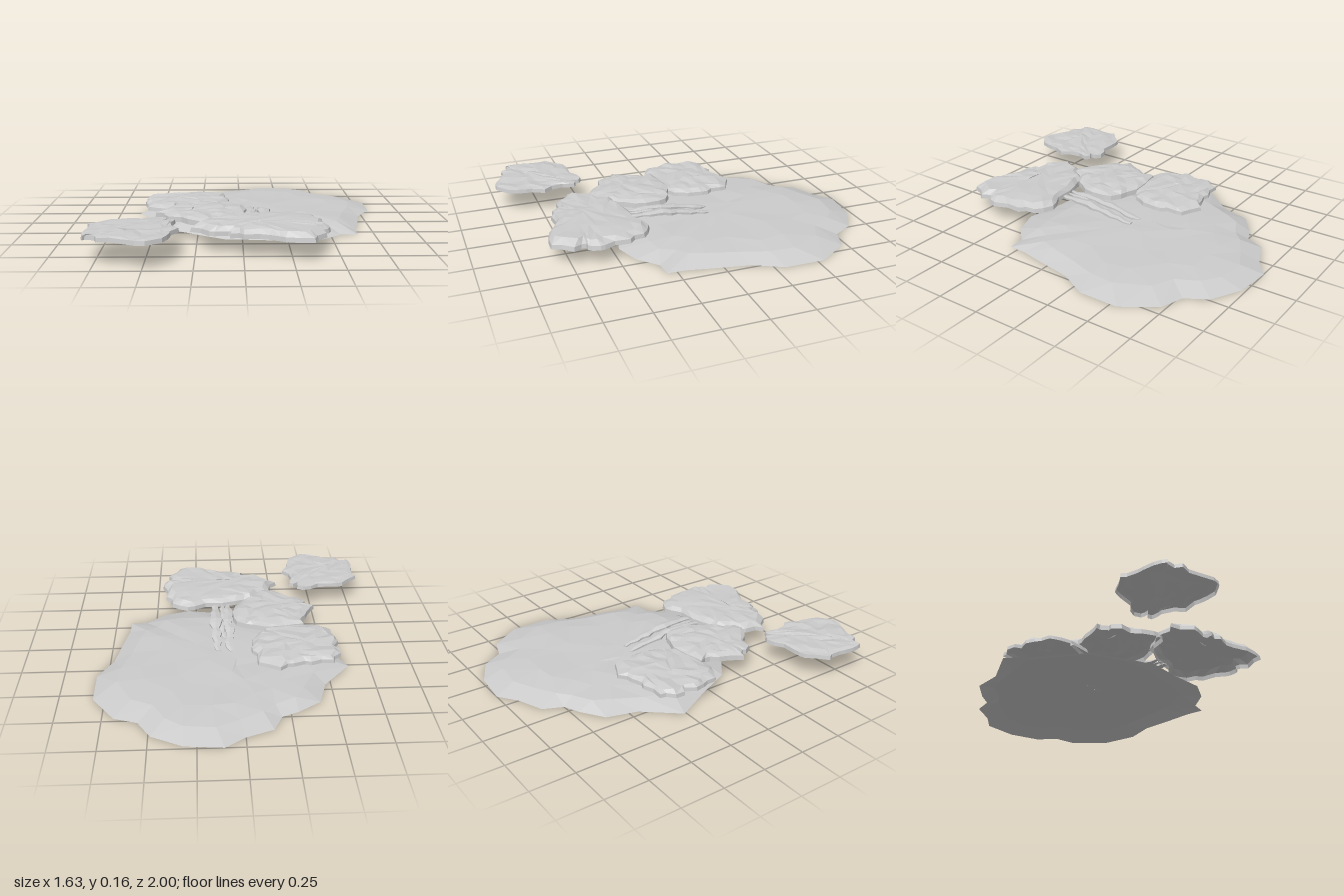
import * as THREE from 'three';

const grey = new THREE.MeshStandardMaterial({ color: 0xcccccc, flatShading: true, side: THREE.DoubleSide });

function seeded(seed) {
  let s = seed;
  return () => {
    s = (s * 16807) % 2147483647;
    return s / 2147483647 - 0.5;
  };
}

function facetedMesh(name, geo) {
  geo.computeVertexNormals();
  const mesh = new THREE.Mesh(geo, grey);
  mesh.name = name;
  return mesh;
}

// Open-bottomed rock crust: shrinking copies of an [x, z] outline, as rings of
// [scale, y, share of points]; inner rings are jittered and have fewer points
function crust(name, outline, rings, { seed, rough = 0, bump, spread }) {
  const rand = seeded(seed);
  let pts = outline.map(([x, z]) => new THREE.Vector2(x, -z));
  if (THREE.ShapeUtils.area(pts) < 0) pts.reverse();
  if (rough > 0) {
    // ragged midpoints between the outline corners
    pts = pts.flatMap((p, i) => {
      const m = p.clone().lerp(pts[(i + 1) % pts.length], 0.5);
      return [p, m.add(new THREE.Vector2(rand() * rough, rand() * rough))];
    });
  }
  const c = new THREE.Box2().setFromPoints(pts).getCenter(new THREE.Vector2());
  const n = pts.length;
  const pos = [];
  const loops = rings.map(([scale, y, share]) => {
    const count = Math.max(5, Math.round(n * share));
    const inner = share < 1 ? 1 : 0;
    const start = pos.length / 3;
    for (let i = 0; i < count; i++) {
      const u = ((i + inner * rand() * 0.5) / count * n + n) % n;
      const k = Math.floor(u);
      const p = pts[k % n].clone().lerp(pts[(k + 1) % n], u - k).sub(c);
      p.multiplyScalar(scale + inner * rand() * spread).add(c);
      pos.push(p.x, y + inner * rand() * bump, -p.y);
    }
    return { start, count };
  });
  const index = [];
  // zip each ring to the next one in
  for (let r = 0; r < loops.length - 1; r++) {
    const a = loops[r], b = loops[r + 1];
    const A = (i) => a.start + i % a.count;
    const B = (j) => b.start + j % b.count;
    for (let i = 0, j = 0; i < a.count || j < b.count;) {
      if ((i + 1) * b.count <= (j + 1) * a.count) index.push(A(i), A(++i), B(j));
      else index.push(A(i), B(j + 1), B(j++));
    }
  }
  // close the middle
  const last = loops[loops.length - 1];
  for (let i = 1; i < last.count - 1; i++) index.push(last.start, last.start + i, last.start + i + 1);
  const geo = new THREE.BufferGeometry();
  geo.setAttribute('position', new THREE.Float32BufferAttribute(pos, 3));
  geo.setIndex(index);
  return facetedMesh(name, geo);
}

// Knobbly flattened strand lying along z, climbing from the ground crust towards the front
function strand(name, x, z0, z1, radius, seed) {
  const rand = seeded(seed);
  const geo = new THREE.CylinderGeometry(1, 1, 1, 6, 12);
  geo.rotateX(Math.PI / 2);
  const p = geo.attributes.position;
  const wobble = Array.from({ length: 13 }, () => [rand() * 0.016, 0.85 + rand() * 0.6]);
  for (let i = 0; i < p.count; i++) {
    const t = p.getZ(i) + 0.5;
    const [shift, swell] = wobble[Math.round(t * 12)];
    const r = radius * swell * Math.min(1, 0.4 + t * 6, 0.4 + (1 - t) * 6);
    const y = 0.058 + 0.05 * Math.min(1, t * 1.7);
    p.setXYZ(i, x + shift + p.getX(i) * r, y + p.getY(i) * r * 0.4, z0 + (z1 - z0) * t);
  }
  return facetedMesh(name, geo);
}

export function createModel() {
  const group = new THREE.Group();
  group.name = 'rockSlabs';

  // Broad ground crust with a sloping rim
  group.add(crust('groundSlab', [
    [0.11, -1], [0.32, -0.98], [0.49, -0.89], [0.56, -0.77], [0.69, -0.725], [0.815, -0.54], [0.815, -0.31],
    [0.73, -0.15], [0.69, 0.06], [0.66, 0.2], [0.655, 0.305], [0.56, 0.31], [0.45, 0.41], [0.3, 0.46],
    [0.1, 0.42], [-0.1, 0.4], [-0.25, 0.3], [-0.42, 0.17], [-0.52, -0.05], [-0.63, -0.26], [-0.47, -0.45],
    [-0.42, -0.62], [-0.29, -0.71], [-0.2, -0.75], [-0.15, -0.86], [0, -0.92],
  ], [[1, 0.004, 1], [0.83, 0.042, 0.95], [0.62, 0.053, 0.7], [0.38, 0.056, 0.5], [0.17, 0.058, 0.25]],
  { seed: 11, bump: 0.007, spread: 0.08 }));

  // Raised crusts: back, middle, front and the detached one; rim is the wall height as a share
  const plate = (name, outline, y0, y1, rim, seed) => {
    const y = (share) => y0 + (y1 - y0) * share;
    group.add(crust(name, outline, [
      [1, y0, 1], [0.985, y(rim), 1], [0.87, y(0.8), 0.85], [0.68, y(0.86), 0.65],
      [0.46, y(0.9), 0.45], [0.24, y(0.92), 0.25],
    ], { seed, rough: 0.04, bump: 0.011, spread: 0.12 }));
  };
  plate('backPlate', [
    [-0.58, -0.28], [-0.53, -0.35], [-0.4, -0.37], [-0.3, -0.38], [-0.22, -0.42], [-0.1, -0.36], [-0.1, -0.26],
    [-0.07, -0.19], [-0.08, -0.1], [-0.12, -0.02], [-0.16, 0.04], [-0.3, 0.08], [-0.44, 0.07], [-0.54, 0.02],
    [-0.56, -0.05], [-0.58, -0.12], [-0.55, -0.2],
  ], 0.082, 0.13, 0.45, 23);
  plate('middlePlate', [
    [-0.49, 0.27], [-0.44, 0.19], [-0.39, 0.1], [-0.4, 0.03], [-0.29, 0.01], [-0.17, 0], [-0.05, 0.04],
    [0.02, 0.12], [0.01, 0.27], [-0.05, 0.36], [-0.13, 0.45], [-0.2, 0.5], [-0.3, 0.44], [-0.41, 0.38],
    [-0.43, 0.31],
  ], 0.1, 0.153, 0.55, 37);
  plate('frontPlate', [
    [-0.28, 0.61], [-0.23, 0.51], [-0.16, 0.44], [-0.1, 0.37], [0, 0.35], [0.19, 0.33], [0.3, 0.28],
    [0.4, 0.34], [0.44, 0.43], [0.46, 0.58], [0.45, 0.65], [0.41, 0.67], [0.43, 0.74], [0.36, 0.85],
    [0.21, 0.83], [0.13, 0.78], [0, 0.77], [-0.07, 0.75], [-0.08, 0.7], [-0.18, 0.7],
  ], 0.1, 0.162, 0.4, 41);
  plate('detachedPlate', [
    [-0.815, 0.82], [-0.8, 0.72], [-0.815, 0.63], [-0.71, 0.53], [-0.63, 0.52], [-0.5, 0.49], [-0.41, 0.5],
    [-0.42, 0.55], [-0.36, 0.54], [-0.38, 0.61], [-0.33, 0.73], [-0.37, 0.84], [-0.4, 0.94], [-0.48, 1],
    [-0.6, 0.96], [-0.72, 0.93], [-0.74, 0.89], [-0.8, 0.89],
  ], 0.13, 0.162, 0.7, 59);

  // Pair of strands between the plates, with a thin one in the gap
  group.add(strand('rightStrand', 0.05, -0.16, 0.34, 0.032, 71));
  group.add(strand('leftStrand', 0.125, -0.15, 0.35, 0.037, 83));
  group.add(strand('innerStrand', 0.088, 0, 0.34, 0.018, 97));

  return group;
}
